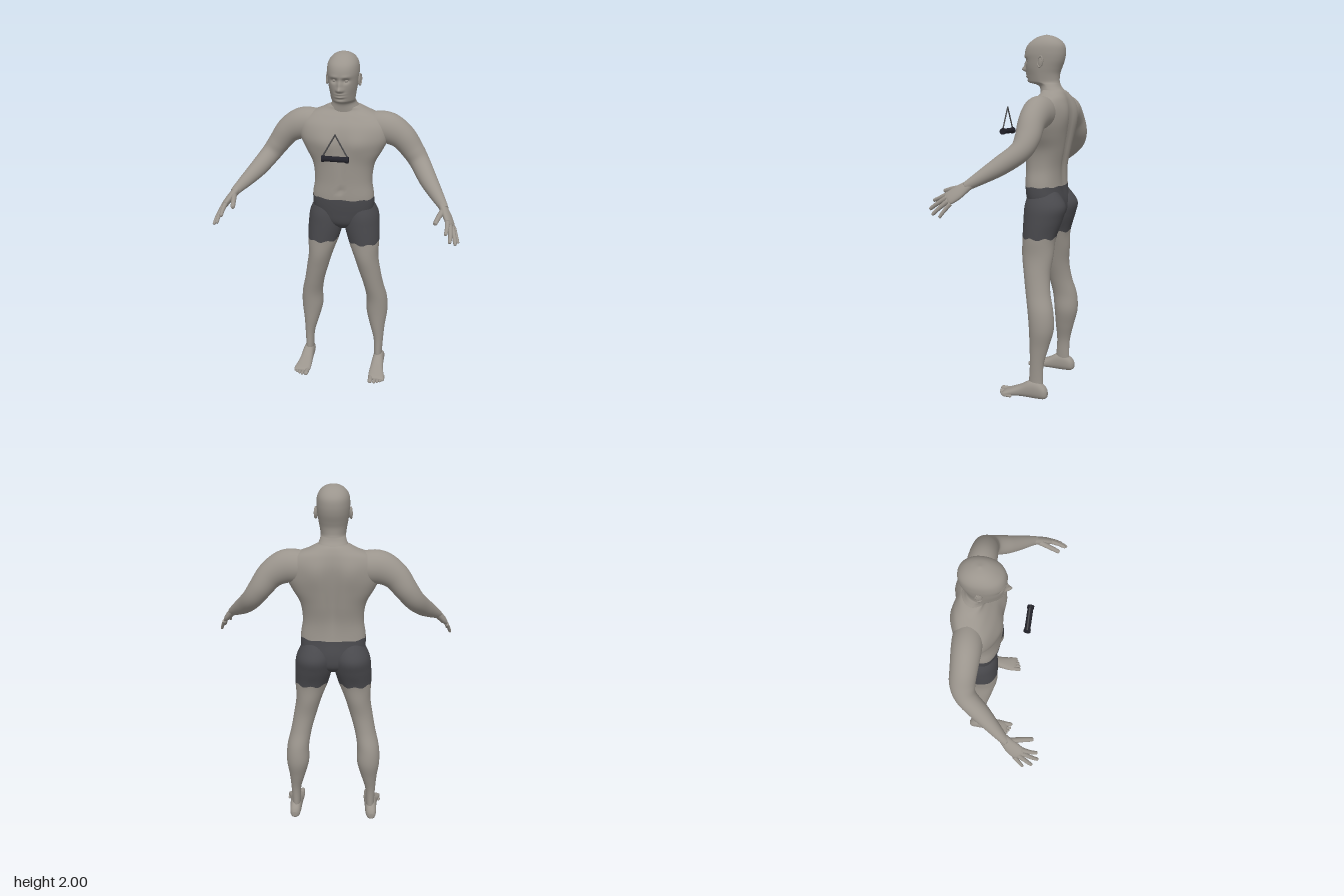
import * as THREE from 'three';

const material = (name, color) => {
  const m = new THREE.MeshStandardMaterial({ color });
  m.name = name;
  return m;
};
const gauss = (d, s) => Math.exp(-((d / s) ** 2));
const spow = (v, p) => Math.sign(v) * Math.abs(v) ** p;

// Smoothly interpolate every column of a short key table
function sample(keys, sub) {
  const rows = [], n = keys.length;
  for (let i = 0; i < n - 1; i++) {
    for (let j = 0; j < sub; j++) {
      const t = j / sub, a = keys[Math.max(i - 1, 0)], b = keys[i], c = keys[i + 1], d = keys[Math.min(i + 2, n - 1)];
      rows.push(b.map((_, k) => {
        const m0 = (c[k] - a[k]) / 2, m1 = (d[k] - b[k]) / 2, t2 = t * t, t3 = t2 * t;
        return (2 * t3 - 3 * t2 + 1) * b[k] + (t3 - 2 * t2 + t) * m0 + (3 * t2 - 2 * t3) * c[k] + (t3 - t2) * m1;
      }));
    }
  }
  rows.push(keys[n - 1].slice());
  return rows;
}

// Closed skin over rings of points, wound outward whichever side it is on
function skin(rings, splitRow = 0) {
  const n = rings[0].length, pos = [], idx = [];
  rings.forEach(r => r.forEach(p => pos.push(p.x, p.y, p.z)));
  const ends = [rings[0], rings[rings.length - 1]].map(r => {
    const c = r.reduce((s, p) => s.add(p), new THREE.Vector3()).divideScalar(n);
    pos.push(c.x, c.y, c.z);
    return pos.length / 3 - 1;
  });
  const last = (rings.length - 1) * n;
  for (let j = 0; j < n; j++) idx.push(ends[0], (j + 1) % n, j);
  for (let i = 0; i < rings.length - 1; i++) {
    for (let j = 0; j < n; j++) {
      const a = i * n + j, b = i * n + (j + 1) % n;
      idx.push(a, b, a + n, b, b + n, a + n);
    }
  }
  for (let j = 0; j < n; j++) idx.push(ends[1], last + j, last + (j + 1) % n);
  const p = i => new THREE.Vector3().fromArray(pos, i * 3);
  let volume = 0;
  for (let i = 0; i < idx.length; i += 3) volume += p(idx[i]).dot(p(idx[i + 1]).cross(p(idx[i + 2])));
  if (volume < 0) for (let i = 0; i < idx.length; i += 3) [idx[i], idx[i + 1]] = [idx[i + 1], idx[i]];
  const g = new THREE.BufferGeometry();
  g.setAttribute('position', new THREE.Float32BufferAttribute(pos, 3));
  g.setIndex(idx);
  if (splitRow) {
    const cut = n * 3 + splitRow * n * 6;
    g.addGroup(0, cut, 0);
    g.addGroup(cut, idx.length - cut, 1);
  }
  g.computeVertexNormals();
  return g;
}

// Keys: [height, centreX, halfWidth, front, back]
function loft(keys, { sub = 6, seg = 40, power = 1, s = 1, split = 0, deform, place } = {}) {
  const rings = sample(keys, sub).map(([h, cx, hx, f, b]) => Array.from({ length: seg }, (_, j) => {
    const a = j / seg * Math.PI * 2;
    const v = new THREE.Vector3(cx + hx * spow(Math.cos(a), power), h, (f + b) / 2 + (f - b) / 2 * spow(Math.sin(a), power));
    if (deform) deform(v, a);
    if (place) place(v);
    v.x *= s;
    return v;
  }));
  return skin(rings, split * sub);
}

// Keys: [x, y, z, radiusU, radiusV]; ref sets the V direction
function limb(keys, { s = 1, sub = 5, seg = 20, ref = [0, 0, 1] } = {}) {
  const rows = sample(keys, sub), at = i => new THREE.Vector3(...rows[i].slice(0, 3)), R = new THREE.Vector3(...ref);
  return skin(rows.map((r, i) => {
    const t = at(Math.min(i + 1, rows.length - 1)).sub(at(Math.max(i - 1, 0))).normalize();
    const u = t.clone().cross(R).normalize(), v = t.clone().cross(u);
    return Array.from({ length: seg }, (_, j) => {
      const a = j / seg * Math.PI * 2;
      const p = at(i).addScaledVector(u, Math.cos(a) * r[3]).addScaledVector(v, Math.sin(a) * r[4]);
      p.x *= s;
      return p;
    });
  }));
}

export function createModel() {
  const root = new THREE.Group();
  const skinMat = material('skin', 0x9b958d), shorts = material('shorts', 0x49494d);
  const barMat = material('dark bar', 0x22222a), cordMat = material('cord', 0x4a4a4c);
  const add = (name, geometry, mat, parent = root) => {
    const m = new THREE.Mesh(geometry, mat);
    m.name = name;
    parent.add(m);
    return m;
  };

  // Torso: hips are shorts, the rest is skin
  add('torso', loft([
    [.975, 0, .04, -.09, -.17], [1.02, 0, .12, -.045, -.225], [1.09, 0, .17, -.03, -.235], [1.18, 0, .178, -.02, -.222],
    [1.28, 0, .165, -.02, -.222], [1.38, 0, .178, -.016, -.24], [1.46, 0, .22, -.014, -.252], [1.53, 0, .25, -.016, -.258],
    [1.6, 0, .245, -.035, -.258], [1.65, 0, .2, -.07, -.248], [1.68, 0, .13, -.095, -.235], [1.7, 0, .09, -.1, -.22], [1.71, 0, .05, -.12, -.2],
  ], {
    power: .85, seg: 64, split: 3, deform: (v, a) => {
      const x = Math.abs(v.x), y = v.y;
      if (Math.sin(a) > 0) {
        v.z += .014 * gauss(x - .09, .07) * gauss(y - 1.51, .07);
        v.z -= .007 * gauss(x, .012) * gauss(y - 1.45, .15) + .012 * gauss(x, .012) * gauss(y - 1.235, .015);
      } else {
        v.z += .02 * gauss(x, .03) * gauss(y - 1.42, .22);
        v.z -= .012 * gauss(x - .09, .06) * gauss(y - 1.57, .08);
      }
      v.y += .003 * Math.sin(9 * a) * gauss(y - 1.18, .03);
    },
  }), [shorts, skinMat]);

  // Head and neck with modelled face
  add('head', loft([
    [1.6, 0, .1, -.1, -.23], [1.68, 0, .086, -.09, -.225], [1.72, 0, .07, -.08, -.2], [1.735, 0, .066, -.055, -.193],
    [1.745, 0, .066, -.014, -.19], [1.76, 0, .068, -.004, -.188], [1.79, 0, .073, -.002, -.19], [1.82, 0, .078, 0, -.2],
    [1.86, 0, .083, .002, -.215], [1.9, 0, .086, .007, -.222], [1.94, 0, .082, -.005, -.218], [1.97, 0, .066, -.035, -.195],
    [1.99, 0, .04, -.07, -.16], [2, 0, .004, -.11, -.12],
  ], {
    seg: 72, sub: 8, power: .92, deform: (v, a) => {
      const f = Math.max(0, Math.sin(a)), y = v.y;
      if (!f) return;
      v.x *= 1 - .3 * f * gauss(y - 1.755, .06);
      const x = Math.abs(v.x);
      v.z += .028 * gauss(x, .013) * gauss(y - 1.817, .013) + .016 * gauss(x, .011) * gauss(y - 1.842, .022);
      v.z += .008 * gauss(x - .014, .008) * gauss(y - 1.812, .009);
      v.z -= .015 * gauss(x - .032, .017) * gauss(y - 1.863, .012);
      v.z += .005 * gauss(x - .03, .025) * gauss(y - 1.884, .009);
      v.z += .008 * gauss(x, .024) * (gauss(y - 1.792, .006) + gauss(y - 1.777, .006));
      v.z -= .005 * gauss(x, .026) * gauss(y - 1.765, .006);
    },
  }), skinMat);

  for (const s of [1, -1]) {
    const side = s > 0 ? 'left' : 'right';
    const group = name => {
      const g = new THREE.Group();
      g.name = side + name;
      root.add(g);
      return g;
    };

    // Eyes and ears
    add(side + 'Eye', new THREE.SphereGeometry(.011, 16, 12), skinMat).position.set(s * .032, 1.863, -.022);
    const ear = group('Ear');
    ear.position.set(s * .086, 1.853, -.113);
    ear.rotation.set(-.15, s * -.3, 0);
    add('earShell', new THREE.SphereGeometry(1, 16, 12), skinMat, ear).scale.set(.007, .03, .018);
    const rim = add('earRim', new THREE.TorusGeometry(.022, .004, 8, 24), skinMat, ear);
    rim.rotation.y = Math.PI / 2;
    rim.scale.set(.75, 1.3, 1);
    rim.position.x = s * .005;

    // Arm from inside the shoulder to the wrist
    add(side + 'Arm', limb([
      [.1, 1.57, -.16, .07, .06], [.18, 1.583, -.16, .087, .075], [.25, 1.578, -.157, .088, .076], [.325, 1.535, -.158, .074, .07],
      [.385, 1.46, -.16, .063, .066], [.432, 1.395, -.138, .056, .056], [.485, 1.33, -.06, .05, .05],
      [.535, 1.28, .01, .039, .038], [.575, 1.242, .065, .028, .027], [.59, 1.225, .09, .024, .022],
    ], { s, seg: 32, sub: 8 }), skinMat);

    // Hand: palm, four fingers and thumb
    const hand = group('Hand'), ref = [.75, .66, 0];
    add('palm', limb([
      [.568, 1.248, .055, .024, .02], [.587, 1.227, .085, .03, .021], [.612, 1.195, .125, .04, .02],
      [.63, 1.17, .16, .04, .016], [.637, 1.162, .172, .032, .009],
    ], { s, ref }), skinMat, hand);
    [
      ['index', [.614, 1.19, .172], [.616, 1.168, .218], [.612, 1.152, .255]],
      ['middle', [.628, 1.174, .17], [.636, 1.14, .225], [.637, 1.112, .263]],
      ['ring', [.64, 1.158, .16], [.656, 1.12, .205], [.665, 1.09, .235]],
      ['little', [.65, 1.146, .143], [.667, 1.108, .172], [.678, 1.08, .19]],
      ['thumb', [.588, 1.222, .095], [.568, 1.21, .165], [.554, 1.195, .222]],
    ].forEach(([name, a, b, c], i) => {
      const r = i === 4 ? .014 : i === 3 ? .0095 : .011;
      const tip = c.map((v, k) => v + (c[k] - b[k]) * .08);
      add(name + 'Finger', limb([[...a, r * 1.2, r * 1.2], [...b, r, r], [...c, r * .8, r * .8], [...tip, r * .2, r * .2]],
        { s, seg: 12, ref }), skinMat, hand);
    });

    // Leg: thigh top is shorts, skin below the hem
    add(side + 'Leg', loft([
      [1.17, .09, .06, -.06, -.2], [1.08, .101, .098, -.035, -.264], [1, .107, .104, -.03, -.25], [.9, .122, .092, -.03, -.217],
      [.8, .138, .073, -.032, -.21], [.7, .16, .065, -.05, -.2], [.6, .183, .06, -.07, -.21], [.5, .203, .063, -.09, -.235],
      [.4, .206, .065, -.1, -.24], [.3, .212, .047, -.105, -.215], [.2, .222, .03, -.11, -.19], [.1, .223, .025, -.105, -.186], [.04, .226, .025, -.105, -.19],
    ], { s, split: 3, deform: (v, a) => { v.y += .006 * Math.sin(7 * a) * gauss(v.y - .9, .04); } }), [shorts, skinMat]);

    // Foot lofted from heel to ball, then toes
    const foot = group('Foot');
    add('footBody', loft([
      [-.216, .232, .012, .05, .018], [-.2, .23, .028, .075, .004], [-.16, .228, .034, .1, 0], [-.11, .228, .036, .098, 0],
      [-.06, .229, .04, .07, .002], [-.01, .233, .047, .047, .001], [.025, .238, .05, .033, 0], [.042, .239, .046, .022, .003],
    ], { s, power: .85, seg: 28, place: v => v.set(v.x, v.z, v.y) }), skinMat, foot);
    [[.204, .064, .0145], [.229, .064, .01], [.248, .056, .0095], [.265, .045, .009], [.28, .031, .0085]].forEach(([x, z, r], i) => {
      const toe = add('toe' + (i + 1), new THREE.CapsuleGeometry(r, .04, 6, 12), skinMat, foot);
      toe.position.set(s * x, r + .001, z - .022);
      toe.rotation.x = Math.PI / 2;
    });
  }

  // Floating bar hung from a two-strand cord
  const pendant = new THREE.Group();
  pendant.name = 'hangingBar';
  pendant.position.set(0, 1.475, .12);
  root.add(pendant);
  add('bar', new THREE.CylinderGeometry(.015, .015, .146, 24), barMat, pendant).rotation.z = Math.PI / 2;
  for (const s of [1, -1]) {
    const cap = add('barCollar', new THREE.CylinderGeometry(.018, .018, .014, 24), barMat, pendant);
    cap.rotation.z = Math.PI / 2;
    cap.position.x = s * .066;
    const path = new THREE.LineCurve3(new THREE.Vector3(s * .068, .012, 0), new THREE.Vector3(0, .133, 0));
    add('cord', new THREE.TubeGeometry(path, 1, .004, 8), cordMat, pendant);
  }
  add('cordTop', new THREE.SphereGeometry(.005, 10, 8), cordMat, pendant).position.y = .133;
  return root;
}
